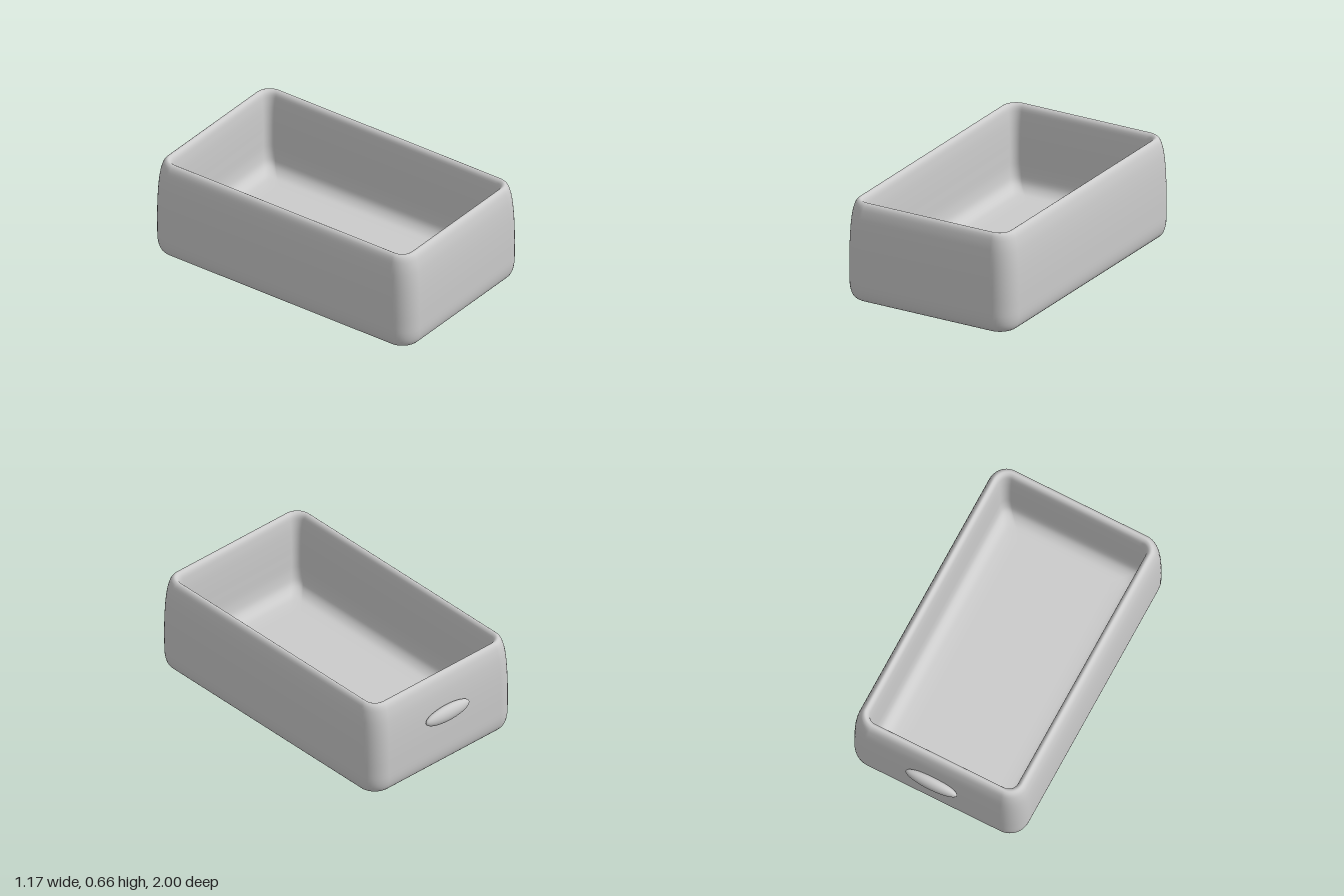
import * as THREE from 'three';

const HALF_X = 0.585, HALF_Z = 0.97, CENTER_Z = 0.03;
const CORNER_STEPS = 10, PROFILE_STEPS = 72;

// Rounded-rectangle outline, pulled in from the widest outline by `inset`
function ring(inset, y) {
  const r = Math.max(0.05, 0.13 - inset * 0.8);
  const cx = HALF_X - inset - r, cz = HALF_Z - inset - r;
  const points = [];
  [[1, 1], [-1, 1], [-1, -1], [1, -1]].forEach(([sx, sz], q) => {
    for (let i = 0; i <= CORNER_STEPS; i++) {
      const a = (q + i / CORNER_STEPS) * Math.PI / 2;
      points.push(sx * cx + r * Math.cos(a), y, CENTER_Z + sz * cz + r * Math.sin(a));
    }
  });
  return points;
}

// Open tray: one skin from under the base, over the rim, down to the inner floor
function trayGeometry() {
  const profile = new THREE.CatmullRomCurve3([
    [0.3, 0], [0.18, 0.003], [0.075, 0.012], [0.025, 0.035], [0.005, 0.085],
    [0, 0.2], [0.001, 0.36], [0.008, 0.5], [0.02, 0.59], [0.038, 0.645],
    [0.058, 0.66], [0.078, 0.645], [0.09, 0.59], [0.097, 0.48], [0.1, 0.34],
    [0.104, 0.23], [0.12, 0.165], [0.16, 0.13], [0.22, 0.12], [0.34, 0.118],
  ].map(([inset, y]) => new THREE.Vector3(inset, y, 0)), false, 'centripetal');

  const rows = profile.getPoints(PROFILE_STEPS);
  const positions = rows.flatMap((p) => ring(p.x, Math.max(0, p.y)));
  const n = 4 * (CORNER_STEPS + 1), last = (rows.length - 1) * n;
  const base = rows.length * n, floor = base + 1;
  positions.push(0, 0, CENTER_Z, 0, 0.118, CENTER_Z);

  const index = [];
  for (let i = 0; i < n; i++) {
    const k = (i + 1) % n;
    for (let j = 0; j < last; j += n) {
      index.push(j + i, j + n + i, j + k, j + k, j + n + i, j + n + k);
    }
    index.push(base, i, k, floor, last + k, last + i);
  }

  const geometry = new THREE.BufferGeometry();
  geometry.setAttribute('position', new THREE.Float32BufferAttribute(positions, 3));
  geometry.setIndex(index);
  geometry.computeVertexNormals();
  return geometry;
}

export function createModel() {
  const group = new THREE.Group();
  group.name = 'drawer';
  const material = new THREE.MeshStandardMaterial({ color: 0xcccccc });

  const tray = new THREE.Mesh(trayGeometry(), material);
  tray.name = 'tray';
  group.add(tray);

  // Flattened oval pull set into the back wall
  const handle = new THREE.Mesh(new THREE.SphereGeometry(1, 40, 24), material);
  handle.name = 'handle';
  handle.scale.set(0.175, 0.054, 0.038);
  handle.position.set(0, 0.405, -0.962);
  group.add(handle);

  return group;
}
